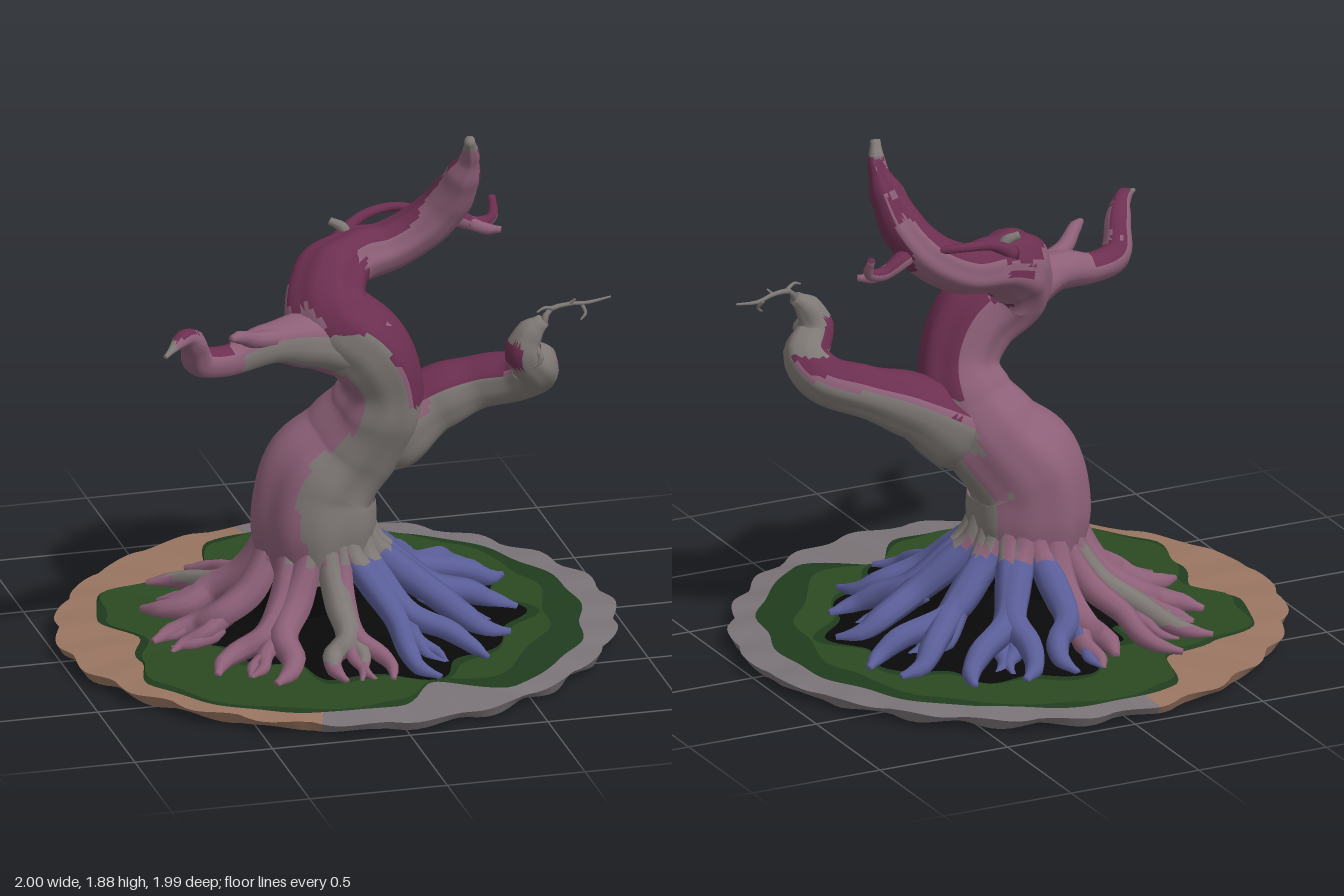
import * as THREE from 'three';

const colours = {
  greyBark: 0x7e7875, pinkBark: 0x8d6078, magentaBark: 0x6c2f50, blueRoot: 0x5a5e98, soil: 0x090909,
  grass: 0x2b4a22, darkGrass: 0x203c1e, tanRock: 0x997561, greyRock: 0x7a7377, darkStone: 0x343135,
};
const V = (a) => new THREE.Vector3(...a);
const lerpList = (list, t) => {
  const x = Math.min(Math.max(t, 0), 1) * (list.length - 1), i = Math.min(Math.floor(x), list.length - 2);
  return THREE.MathUtils.lerp(list[i], list[i + 1], THREE.MathUtils.smoothstep(x - i, 0, 1));
};

export function createModel() {
  const model = new THREE.Group();
  const mats = {};
  for (const [name, color] of Object.entries(colours)) {
    mats[name] = new THREE.MeshStandardMaterial({ color });
    mats[name].name = name;
  }

  // Builds a mesh from positions and triangles, grouped by colour name
  function addMesh(name, pos, byColour) {
    const geo = new THREE.BufferGeometry(), index = [], used = [];
    for (const [key, tris] of Object.entries(byColour)) {
      geo.addGroup(index.length, tris.length, used.length);
      for (const k of tris) index.push(k);
      used.push(mats[key]);
    }
    geo.setAttribute('position', new THREE.Float32BufferAttribute(pos, 3));
    geo.setIndex(index);
    geo.computeVertexNormals();
    const mesh = new THREE.Mesh(geo, used);
    mesh.name = name;
    model.add(mesh);
  }

  // Tapering, ridged limb along points [x, y, z, radius]; pick(point, normal) gives the colour
  function limb(name, pts, pick, seg = 12, steps = 24, ridge = 0.05) {
    const curve = new THREE.CatmullRomCurve3(pts.map((p) => V(p.slice(0, 3))));
    const radii = pts.map((p) => p[3]), frames = curve.computeFrenetFrames(steps);
    const pos = [], by = {};
    for (let j = 0; j <= steps; j++) {
      const u = j / steps, c = curve.getPointAt(u), r = lerpList(radii, curve.getUtoTmapping(u));
      for (let i = 0; i < seg; i++) {
        const a = (i / seg) * Math.PI * 2;
        const k = r * (1 + ridge * (Math.sin(5 * a + 3 * u) * 0.6 + Math.sin(9 * a - 4 * u) * 0.4));
        const p = c.clone().addScaledVector(frames.normals[j], k * Math.cos(a))
          .addScaledVector(frames.binormals[j], k * Math.sin(a));
        pos.push(p.x, p.y, p.z);
      }
    }
    const first = pos.length / 3;
    pos.push(...curve.getPoint(0).toArray(), ...curve.getPoint(1).toArray());
    const at = (k) => new THREE.Vector3().fromArray(pos, k * 3);
    const tri = (a, b, c) => {
      const A = at(a), B = at(b), C = at(c);
      const n = B.clone().sub(A).cross(C.clone().sub(A)).normalize();
      const key = pick(A.add(B).add(C).divideScalar(3), n);
      (by[key] ||= []).push(a, b, c);
    };
    for (let i = 0; i < seg; i++) {
      const i2 = (i + 1) % seg;
      for (let j = 0; j < steps; j++) {
        const o = j * seg, q = o + seg;
        tri(o + i, o + i2, q + i);
        tri(o + i2, q + i2, q + i);
      }
      tri(first, i2, i);
      tri(first + 1, steps * seg + i, steps * seg + i2);
    }
    addMesh(name, pos, by);
  }

  // Trunk: grey front, pink left and back, magenta higher up
  const trunkColour = (p, n) => {
    if (p.y < 0.27) return 'soil';
    if (p.y > 1.83) return 'greyBark';
    if (p.y > 1.24 || p.x > 0.27) {
      if (p.x > 0.06) return n.y > 0.5 || n.x > 0.7 ? 'magentaBark' : 'pinkBark';
      return (n.x < -0.4 && n.y < 0.4) || (n.z < -0.3 && n.y < 0.1) ? 'pinkBark' : 'magentaBark';
    }
    // sideways lean of the surface, ignoring its slope
    const flat = Math.hypot(n.x, n.z) || 1, hx = n.x / flat, hz = n.z / flat;
    if (p.y > 0.92 && hx > 0.25 && hz > -0.88) return hx > 0.4 || p.y > 1.1 ? 'magentaBark' : 'pinkBark';
    return hz < -0.75 || (hz < -0.35 && hx < 0.3) || hx < -0.45 ? 'pinkBark' : 'greyBark';
  };
  limb('trunk', [
    [-0.06, 0.03, 0, 0.19], [-0.07, 0.28, 0, 0.2], [-0.08, 0.46, 0, 0.22], [-0.06, 0.6, 0, 0.212],
    [0.05, 0.74, 0.03, 0.185], [0.125, 0.88, 0.09, 0.165], [0.13, 1.01, 0.13, 0.142], [0.06, 1.14, 0.15, 0.15],
    [-0.06, 1.25, 0.13, 0.155], [-0.04, 1.35, 0.05, 0.135], [0.07, 1.405, -0.03, 0.1], [0.2, 1.42, -0.06, 0.088],
    [0.33, 1.49, -0.05, 0.085], [0.41, 1.59, -0.01, 0.078], [0.445, 1.7, 0.05, 0.062], [0.46, 1.79, 0.1, 0.034],
    [0.445, 1.875, 0.15, 0.018],
  ], trunkColour, 52, 150, 0.05);

  // Right-hand limb, curling upward and forward
  limb('curledBranch', [
    [0.03, 0.68, 0.03, 0.1], [0.18, 0.79, 0.06, 0.155], [0.35, 0.89, 0.08, 0.115], [0.5, 0.95, 0.12, 0.093],
    [0.62, 0.99, 0.2, 0.088], [0.65, 1.05, 0.28, 0.083], [0.59, 1.13, 0.33, 0.065], [0.61, 1.2, 0.34, 0.05],
    [0.66, 1.25, 0.35, 0.025],
  ], (p, n) => (p.y > 1.08 ? (n.x < -0.3 && p.y < 1.18 ? 'magentaBark' : 'greyBark')
    : p.x < 0.15 && n.z < -0.6 ? 'pinkBark'
      : n.y > 0.5 ? 'magentaBark' : n.y > 0.3 ? 'pinkBark' : 'greyBark'), 32, 56);

  // Left-hand limb with its stub
  const leftColour = (p, n) => (p.x < -0.72 ? 'greyBark'
    : p.x > -0.42 && n.z > 0.1 && n.y < 0.35 && n.y > -0.8 ? 'greyBark'
      : p.x < -0.46 && n.y > 0.6 ? 'magentaBark' : 'pinkBark');
  limb('leftBranch', [
    [0.04, 1.13, 0.16, 0.11], [-0.15, 1.2, 0.2, 0.1], [-0.32, 1.22, 0.25, 0.07], [-0.47, 1.19, 0.29, 0.055],
    [-0.58, 1.21, 0.32, 0.055], [-0.62, 1.3, 0.38, 0.047], [-0.67, 1.355, 0.45, 0.032], [-0.77, 1.335, 0.56, 0.008],
  ], leftColour, 24, 50);
  limb('leftStub', [[-0.25, 1.24, 0.25, 0.04], [-0.38, 1.27, 0.32, 0.03], [-0.45, 1.31, 0.38, 0.024],
    [-0.49, 1.32, 0.41, 0.012]], () => 'pinkBark', 10, 14);

  // Thin upper shoots
  const pink = () => 'pinkBark', magenta = () => 'magentaBark', grey = () => 'greyBark';
  limb('archedShoot', [[0.02, 1.45, -0.08, 0.03], [0.12, 1.515, -0.12, 0.02], [0.25, 1.535, -0.14, 0.017],
    [0.38, 1.52, -0.08, 0.014]], magenta, 8, 20);
  limb('sideShoot', [[0.36, 1.53, -0.04, 0.04], [0.45, 1.5, -0.07, 0.032], [0.53, 1.465, -0.08, 0.025],
    [0.59, 1.48, -0.09, 0.02], [0.6, 1.545, -0.13, 0.014]], (p, n) => (n.y > 0.1 ? 'magentaBark' : 'pinkBark'), 10, 20);
  limb('sideShootTip', [[0.5, 1.475, -0.075, 0.025], [0.56, 1.45, -0.06, 0.022], [0.61, 1.45, -0.04, 0.012]], pink, 8, 8);
  limb('crownTwig', [[0.06, 1.46, -0.06, 0.02], [0.045, 1.5, -0.07, 0.02], [0.0, 1.525, -0.09, 0.014]], grey, 8, 8);

  // Bare twigs at the end of the curled limb
  [
    [[0.66, 1.24, 0.35, 0.014], [0.68, 1.28, 0.34, 0.01], [0.76, 1.29, 0.32, 0.008], [0.83, 1.28, 0.3, 0.007], [0.92, 1.29, 0.29, 0.004]],
    [[0.7, 1.285, 0.34, 0.008], [0.66, 1.3, 0.36, 0.006], [0.63, 1.29, 0.37, 0.004]],
    [[0.76, 1.29, 0.32, 0.007], [0.78, 1.31, 0.33, 0.004]],
    [[0.81, 1.28, 0.3, 0.007], [0.82, 1.25, 0.32, 0.006], [0.8, 1.23, 0.33, 0.004]],
    [[0.62, 1.17, 0.36, 0.012], [0.64, 1.12, 0.39, 0.01], [0.61, 1.09, 0.39, 0.005]],
  ].forEach((pts, i) => limb('twig' + (i + 1), pts, grey, 6, 10, 0));

  // Roots: tip x, tip z, thickness, colour
  const roots = [
    [-0.38, -0.6, 0.8, 'pinkBark'], [-0.17, -0.52, 1.15, 'pinkBark'], [-0.55, -0.5, 0.85, 'greyBark'],
    [-0.64, -0.25, 1.1, 'pinkBark'], [-0.68, 0.05, 1, 'pinkBark'], [-0.63, 0.14, 0.65, 'pinkBark'],
    [-0.55, 0.42, 0.9, 'pinkBark'], [-0.36, 0.57, 1, 'pinkBark'], [-0.13, 0.6, 0.85, 'greyBark'],
    [0.05, 0.62, 0.7, 'pinkBark'], [0.2, 0.65, 0.85, 'blueRoot'], [0.42, 0.5, 0.85, 'blueRoot'],
    [0.55, 0.3, 1, 'blueRoot'], [0.64, 0.06, 1, 'blueRoot'], [0.67, -0.24, 0.95, 'blueRoot'],
    [0.6, -0.38, 1, 'blueRoot'], [0.42, -0.56, 1, 'blueRoot'], [0.22, -0.6, 1, 'blueRoot'],
    [0.04, -0.61, 0.95, 'blueRoot'],
  ];
  roots.forEach(([x, z, k, colour], i) => {
    const dx = x + 0.06, dz = z, d = Math.hypot(dx, dz), ux = dx / d, uz = dz / d;
    const lift = colour === 'blueRoot' ? 1.25 : 1, bend = 0.04 * (i % 2 ? 1 : -1);
    const at = (r, y, side, rad) => [-0.06 + ux * r - uz * side, y, uz * r + ux * side, rad * k];
    // grey roots turn pink towards the tip
    const pick = (p, n) => (p.y > 0.35 ? trunkColour(p, n)
      : colour === 'greyBark' && p.y < 0.1 ? 'pinkBark' : colour);
    limb('root' + (i + 1), [
      at(0.15, 0.52, 0, 0.03), at(0.18, 0.37, 0, 0.048), at(0.265, 0.22 * lift, bend * 0.7, 0.057),
      at(0.4, 0.14 * lift, bend, 0.049), at(d - 0.17, 0.1 * lift, -bend * 0.3, 0.044),
      at(d - 0.08, 0.08, -bend * 0.6, 0.033), at(d, 0.065, bend * 0.2, 0.014),
    ], pick, 10, 28, 0.14);
    limb('rootFork' + (i + 1), [
      at(0.36, 0.145 * lift, bend, 0.04), at(0.46, 0.1, bend * 2.2, 0.031), at(0.53, 0.075, bend * 2, 0.023),
      at(0.59, 0.06, bend * 2.8, 0.01),
    ], pick, 8, 12, 0.12);
  });

  // Ground disc: edges given as radii every 15 degrees, from +x towards +z
  const polar = (list) => (a) => lerpList([...list, list[0]], a / (Math.PI * 2)) + 0.008 * Math.sin(17 * a);
  const grassEdge = polar([0.87, 0.86, 0.88, 0.87, 0.9, 0.69, 0.85, 0.88, 0.91, 0.91, 0.9, 0.8,
    0.71, 0.83, 0.87, 0.76, 0.67, 0.88, 0.9, 0.9, 0.86, 0.88, 0.86, 0.87]);
  const soilBase = polar([0.63, 0.63, 0.62, 0.58, 0.62, 0.64, 0.58, 0.55, 0.5, 0.47, 0.5, 0.5,
    0.49, 0.47, 0.45, 0.42, 0.42, 0.54, 0.6, 0.62, 0.61, 0.61, 0.63, 0.63]);
  const soilEdge = (a) => soilBase(a) + 0.04 * Math.sin(11 * a);
  const shade = polar([0.12, 0.12, 0.14, 0.14, 0.1, 0.02, 0.02, 0.02, 0.02, 0.02, 0.02, 0.02,
    0.02, 0.02, 0.02, 0.02, 0.02, 0.02, 0.02, 0.02, 0.02, 0.04, 0.07, 0.09]);
  const rim = (a) => 0.962 + 0.026 * Math.abs(Math.sin(11 * a + 0.9)) + 0.012 * Math.sin(4 * a + 1.5);
  const rockColour = (a) => (a > 1.87 && a < 4.6 ? 'tanRock' : 'greyRock');

  // Ring between two edges, each a => [radius, height]
  function ring(name, inner, outer, pick, n = 180) {
    const pos = [], by = {};
    for (let i = 0; i <= n; i++) {
      const a = (i / n) * Math.PI * 2;
      for (const [r, y] of [inner(a), outer(a)]) pos.push(r * Math.cos(a), y, r * Math.sin(a));
      const o = i * 2;
      if (i < n) (by[pick(a)] ||= []).push(o, o + 2, o + 1, o + 2, o + 3, o + 1);
    }
    addMesh(name, pos, by);
  }
  const flat = (f, y) => (a) => [f(a), y];
  const rootShade = (a) => soilEdge(a) + 0.025 + 0.02 * Math.sin(8 * a);
  const grassInner = (a) => grassEdge(a) - Math.max(shade(a) + 0.015 * Math.sin(13 * a), 0.005);
  const edgeTop = (a) => [rim(a), 0.047 + 0.005 * Math.sin(23 * a)];
  const edgeLow = (a) => [rim(a) - 0.02, 0.016 + 0.008 * Math.sin(19 * a)];
  const under = flat((a) => 0.76 + 0.02 * Math.sin(7 * a), 0.004);
  const moundFoot = flat(() => 0.3, 0.1);
  ring('soilMound', flat(() => 0.1, 0.24), moundFoot, () => 'soil');
  ring('soilPatch', moundFoot, flat(soilEdge, 0.06), () => 'soil');
  ring('rootShade', flat(soilEdge, 0.06), flat(rootShade, 0.06), () => 'darkGrass');
  ring('grass', flat(rootShade, 0.06), flat(grassInner, 0.062), () => 'grass');
  ring('grassBorder', flat(grassInner, 0.062), flat(grassEdge, 0.056), () => 'darkGrass');
  ring('rockRim', flat(grassEdge, 0.056), edgeTop, rockColour);
  ring('rockSide', edgeTop, edgeLow, rockColour);
  ring('rockUnderside', edgeLow, flat(() => 0.88, 0.01), () => 'greyRock');
  ring('grassUnderside', flat(() => 0.88, 0.01), under, () => 'darkGrass');
  ring('soilUnderside', under, flat(() => 0, 0), () => 'darkStone');
  return model;
}
